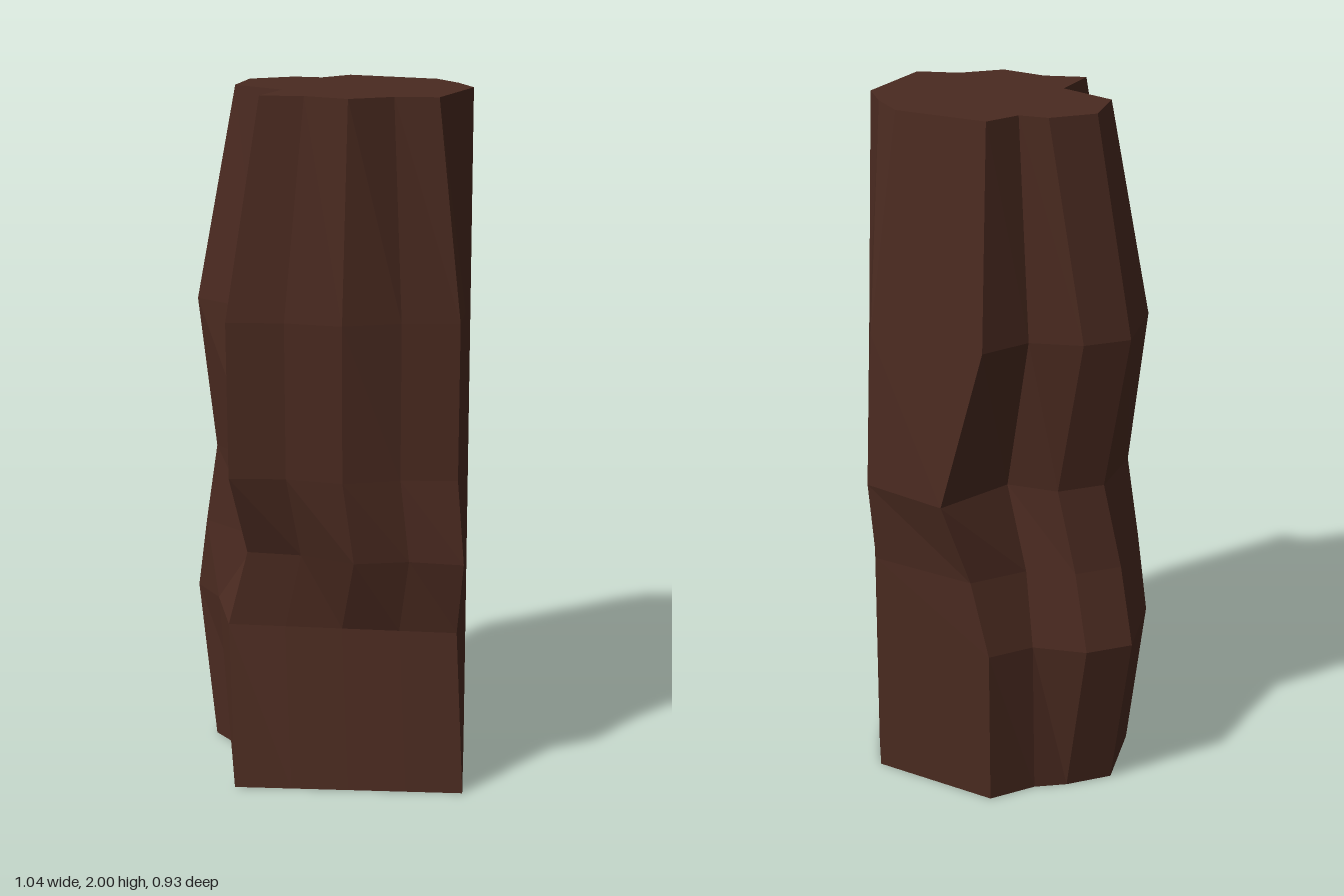
import * as THREE from 'three';

// Corner positions [x, z] at each height: right ridge, front ridge, front groove,
// left lobe front, left lobe tip, rear groove, rear left ridge.
// back: depth of the back ridge; belly: swelling of the front right side.
const levels = [
  { y: 0, back: -.44, belly: 0, p: [[.52, .035], [.01, .46], [-.06, .27], [-.32, .22], [-.45, .02], [-.34, -.19], [-.3, -.33]] },
  { y: .47, back: -.44, belly: 0, p: [[.46, 0], [-.07, .4], [-.26, .26], [-.39, .22], [-.525, .02], [-.34, -.2], [-.3, -.335]] },
  { y: .69, back: -.44, belly: .05, p: [[.5, .02], [-.03, .36], [-.1, .24], [-.34, .23], [-.455, .04], [-.29, -.18], [-.24, -.35]] },
  { y: .93, back: -.465, belly: .04, p: [[.465, .01], [-.02, .44], [-.09, .26], [-.3, .22], [-.39, .03], [-.2, -.17], [-.195, -.42]] },
  { y: 1.38, back: -.44, belly: .04, p: [[.458, 0], [-.025, .44], [-.08, .25], [-.33, .26], [-.455, .06], [-.28, -.165], [-.26, -.32]] },
  { y: 2, back: -.335, belly: .06, p: [[.38, .01], [-.005, .32], [-.06, .175], [-.245, .18], [-.33, .04], [-.2, -.13], [-.19, -.24]] },
];

// Full outline of one level, from the back round by +x, front and -x
function outline({ back, belly, p }) {
  const [right, front, groove, lobeFront, lobeTip, rearGroove, rearLeft] = p.map((c) => new THREE.Vector2(...c));
  const between = (a, b, t) => a.clone().lerp(b, t);
  const rear = new THREE.Vector2(.07, back);
  const rearRight = new THREE.Vector2(.29, -.24);
  const bulge = new THREE.Vector2(.65, .76).multiplyScalar(belly);
  return [
    rear, between(rear, rearRight, .5).add(new THREE.Vector2(.005, -.01)),
    rearRight, between(rearRight, right, .5),
    right, between(right, front, .25), between(right, front, .5).add(bulge), between(right, front, .75),
    front, groove, lobeFront, lobeTip, lobeTip.clone().add(new THREE.Vector2(.055, -.13)),
    rearGroove, rearLeft,
  ];
}

// Skin between neighbouring outlines
function wallGeometry(rings) {
  const n = rings[0].length;
  const positions = rings.flatMap((ring, r) => ring.flatMap((c) => [c.x, levels[r].y, c.y]));
  const index = [];
  for (let r = 0; r < rings.length - 1; r++) {
    for (let i = 0; i < n; i++) {
      const a = r * n + i;
      const b = r * n + (i + 1) % n;
      index.push(a, a + n, b + n, a, b + n, b);
    }
  }
  const geo = new THREE.BufferGeometry();
  geo.setAttribute('position', new THREE.Float32BufferAttribute(positions, 3));
  geo.setIndex(index);
  geo.computeVertexNormals();
  return geo;
}

// Flat end face; dir is 1 facing up, -1 facing down
function capGeometry(ring, y, dir) {
  const shape = new THREE.Shape(ring.map((c) => new THREE.Vector2(c.x, -dir * c.y)));
  return new THREE.ShapeGeometry(shape).rotateX(-dir * Math.PI / 2).translate(0, y, 0);
}

export function createModel() {
  const group = new THREE.Group();
  group.name = 'trunk';
  const bark = new THREE.MeshStandardMaterial({ color: 0x4a2a20, flatShading: true });
  const add = (name, geo) => {
    const mesh = new THREE.Mesh(geo, bark);
    mesh.name = name;
    group.add(mesh);
  };
  const rings = levels.map(outline);
  add('bark', wallGeometry(rings));
  add('topCut', capGeometry(rings.at(-1), 2, 1));
  add('base', capGeometry(rings[0], 0, -1));
  return group;
}
